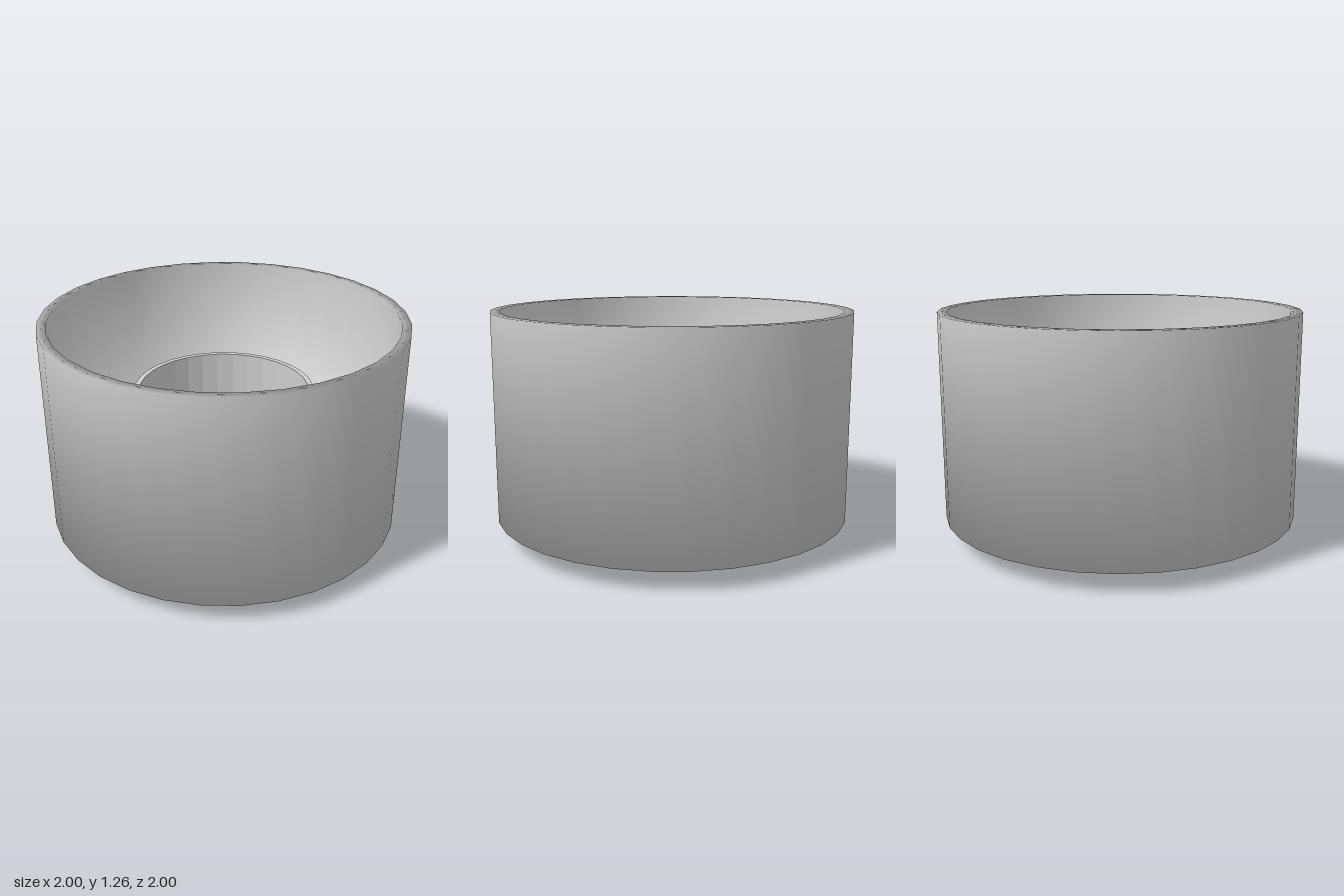
import * as THREE from 'three';

const SEGMENTS = 32;

// Revolves a list of [radius, y] points, with softly blended normals
function lathe(name, points, material) {
  const profile = points.map(([r, y]) => new THREE.Vector2(r, y));
  const mesh = new THREE.Mesh(new THREE.LatheGeometry(profile, SEGMENTS), material);
  mesh.name = name;
  return mesh;
}

export function createModel() {
  const group = new THREE.Group();
  group.name = 'cup';
  const grey = new THREE.MeshStandardMaterial({ color: 0xcccccc });
  grey.name = 'light grey';

  const bottom = 0.11, floor = 0.16, rim = 1.265;

  // Open cup with a thin wall and a flat floor
  group.add(lathe('cupShell', [
    [0, bottom], [1, bottom], [1, rim], [0.95, rim], [0.95, floor], [0, floor],
  ], grey));

  // Thin inner tube standing on the floor, with crisp faces
  const tube = lathe('innerTube', [
    [0.475, floor], [0.505, floor], [0.505, 0.845], [0.475, 0.845], [0.475, floor],
  ], grey);
  tube.geometry = tube.geometry.toNonIndexed();
  tube.geometry.computeVertexNormals();
  group.add(tube);

  // Two short round pegs under the cup
  for (const side of [-1, 1]) {
    const peg = lathe(side > 0 ? 'leftPeg' : 'rightPeg', [
      [0, 0], [0.133, 0], [0.133, 0.12], [0, 0.12],
    ], grey);
    peg.position.x = side * 0.21;
    group.add(peg);
  }
  return group;
}
